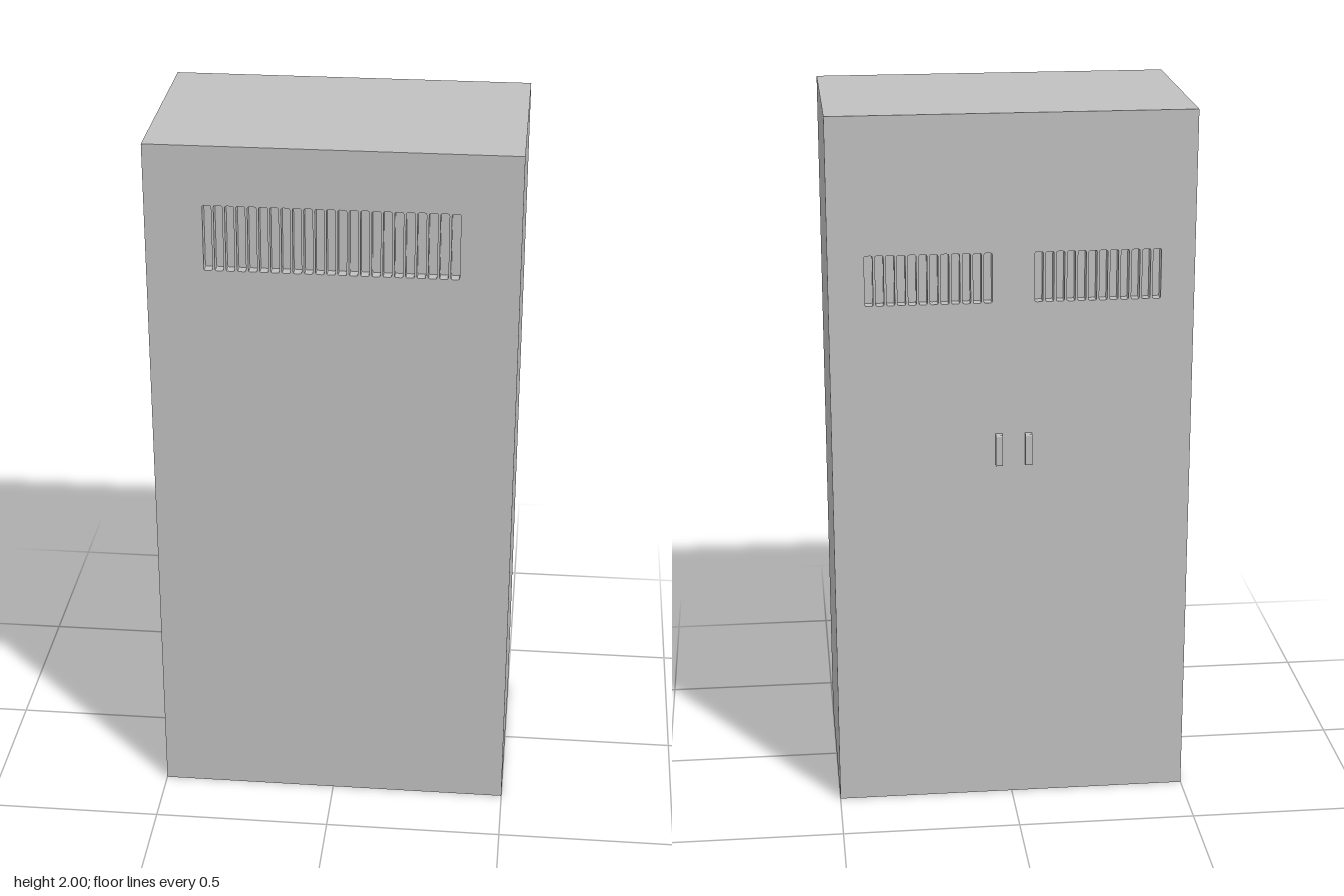
import * as THREE from 'three';

const WIDTH = 1, HEIGHT = 2, BACK = -0.29, FRONT = 0.31, SLOT_DEPTH = 0.03;

// Rounded rectangle outline, used for vent slots and handle profiles
function roundedRect(path, x, y, w, h, r) {
  path.moveTo(x + r, y);
  path.lineTo(x + w - r, y);
  path.quadraticCurveTo(x + w, y, x + w, y + r);
  path.lineTo(x + w, y + h - r);
  path.quadraticCurveTo(x + w, y + h, x + w - r, y + h);
  path.lineTo(x + r, y + h);
  path.quadraticCurveTo(x, y + h, x, y + h - r);
  path.lineTo(x, y + r);
  path.quadraticCurveTo(x, y, x + r, y);
  return path;
}

// Row of upright slots spanning x0..x1
function slotRow(count, x0, x1, slotWidth, y0, y1) {
  const pitch = (x1 - x0 - slotWidth) / (count - 1);
  return Array.from({ length: count }, (_, i) =>
    roundedRect(new THREE.Path(), x0 + i * pitch, y0, slotWidth, y1 - y0, 0.005));
}

// Full-size panel pierced by the given slots
function ventPanel(slots, z) {
  const shape = new THREE.Shape([
    new THREE.Vector2(-WIDTH / 2, 0), new THREE.Vector2(WIDTH / 2, 0),
    new THREE.Vector2(WIDTH / 2, HEIGHT), new THREE.Vector2(-WIDTH / 2, HEIGHT),
  ]);
  shape.holes.push(...slots);
  const geometry = new THREE.ExtrudeGeometry(shape, {
    depth: SLOT_DEPTH, bevelEnabled: false, curveSegments: 2,
  });
  return geometry.translate(0, 0, z);
}

export function createModel() {
  const group = new THREE.Group();
  const grey = new THREE.MeshStandardMaterial({ color: 0xc0c0c0 });
  grey.name = 'cabinetGrey';

  function add(name, geometry) {
    const mesh = new THREE.Mesh(geometry, grey);
    mesh.name = name;
    group.add(mesh);
  }

  // Solid core between the two vented panels
  const coreDepth = FRONT - BACK - 2 * SLOT_DEPTH;
  add('cabinetBody', new THREE.BoxGeometry(WIDTH, HEIGHT, coreDepth)
    .translate(0, HEIGHT / 2, (FRONT + BACK) / 2));

  // Front panel: one wide vent
  add('frontPanel', ventPanel(
    slotRow(23, -0.344, 0.339, 0.0235, 1.65, 1.835), FRONT - SLOT_DEPTH));

  // Back panel: a vent on each door
  add('backPanel', ventPanel([
    ...slotRow(12, -0.407, -0.061, 0.0225, 1.48, 1.62),
    ...slotRow(12, 0.055, 0.401, 0.0225, 1.48, 1.62),
  ], BACK));

  // Pair of door handles on the back
  [['leftHandle', 0.028], ['rightHandle', -0.054]].forEach(([name, x]) => {
    const profile = roundedRect(new THREE.Shape(), -BACK - 0.01, 1.015, 0.03, 0.09, 0.004);
    const geometry = new THREE.ExtrudeGeometry(profile, {
      depth: 0.019, bevelEnabled: false, curveSegments: 3,
    });
    add(name, geometry.rotateY(Math.PI / 2).translate(x, 0, 0));
  });

  return group;
}
